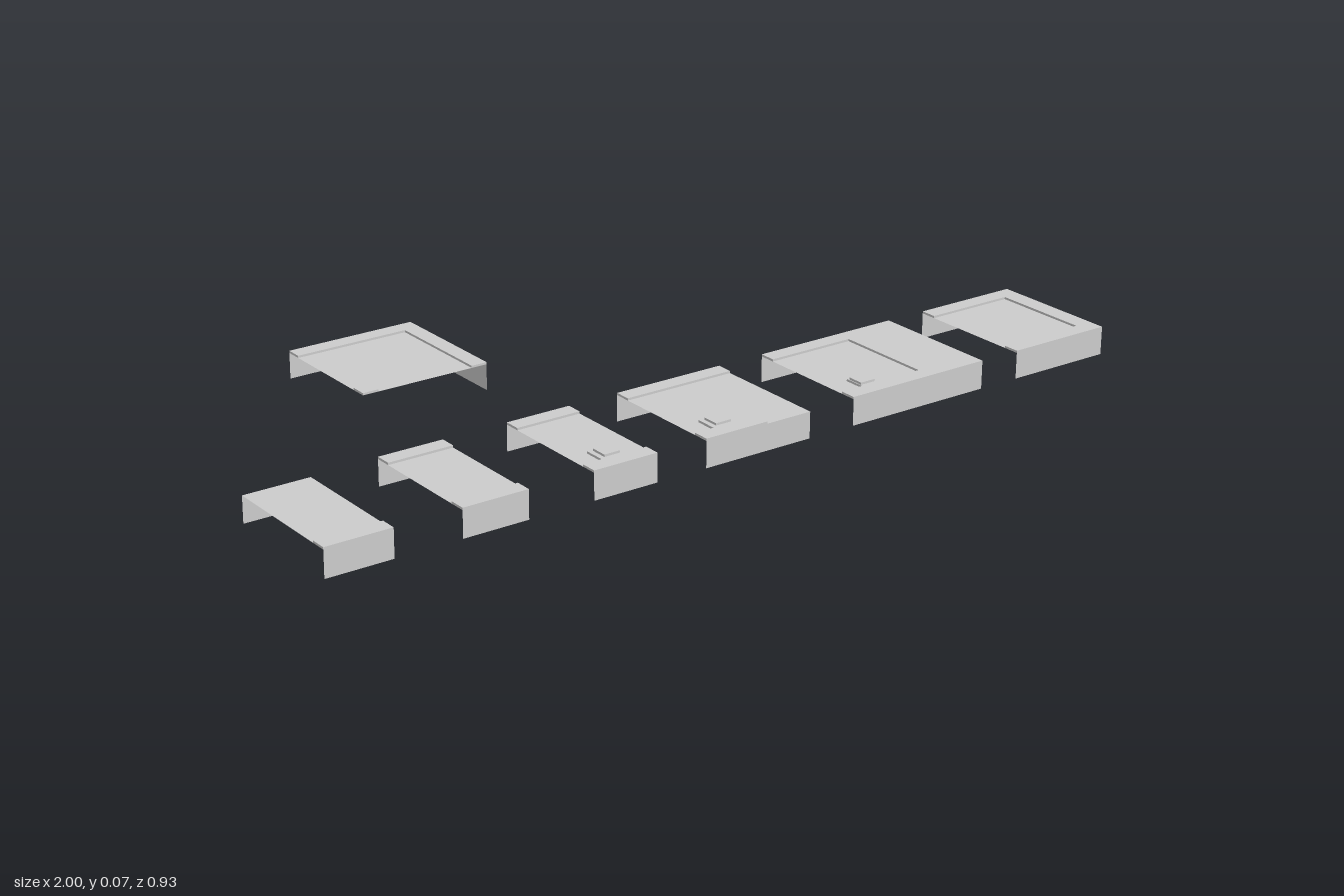
import * as THREE from 'three';

const ROAD = 0.06, KERB = 0.065, RIM = 0.038;
const material = new THREE.MeshStandardMaterial({ color: 0xcccccc, flatShading: true, side: THREE.DoubleSide });

function add(group, name, geometry, x = 0, y = 0, z = 0) {
  const mesh = new THREE.Mesh(geometry, material);
  mesh.name = name;
  mesh.position.set(x, y, z);
  group.add(mesh);
  return mesh;
}

// Raised slab from an outline of [x, z] points
function raised(group, name, points) {
  const shape = new THREE.Shape(points.map(([x, z]) => new THREE.Vector2(x, z)));
  const geometry = new THREE.ExtrudeGeometry(shape, { depth: KERB - ROAD, bevelEnabled: false });
  geometry.rotateX(Math.PI / 2);
  add(group, name, geometry, 0, KERB, 0);
}

const rect = (x0, x1, z0, z1) => [[x0, z0], [x1, z0], [x1, z1], [x0, z1]];

// Thin deck with hanging walls on the chosen sides, open elsewhere
function tile(name, x0, x1, z0, z1, walls) {
  const group = new THREE.Group();
  group.name = name;
  const w = x1 - x0, d = z1 - z0, cx = (x0 + x1) / 2, cz = (z0 + z1) / 2;
  add(group, 'deck', new THREE.PlaneGeometry(w, d).rotateX(-Math.PI / 2), cx, ROAD, cz);
  const wall = (n, size, angle, x, z) =>
    add(group, n, new THREE.PlaneGeometry(size, ROAD).rotateY(angle), x, ROAD / 2, z);
  if (walls.includes('front')) wall('frontWall', w, 0, cx, z1);
  if (walls.includes('back')) wall('backWall', w, Math.PI, cx, z0);
  if (walls.includes('end')) wall('endWall', d, Math.PI / 2, x1, cz);
  return group;
}

export function createModel() {
  const model = new THREE.Group();
  model.name = 'platformTiles';
  const Z0 = 0.155, Z1 = 0.463, zi = Z1 - RIM, zb = Z0 + RIM;

  // Row of tiles: x range, walls, end platform start, bump range, front kerb end
  const row = [
    { name: 'singleKerbTile', x: [-1, -0.847], backKerb: false },
    { name: 'doubleKerbTile', x: [-0.693, -0.54] },
    { name: 'narrowHatchTile', x: [-0.385, -0.23], bay: [-0.34, -0.28], hatch: -0.31 },
    { name: 'openKerbTile', x: [-0.107, 0.163], bay: [-0.06, 0.049], hatch: -0.03, kerbEnd: 0.05 },
    { name: 'wideEndTile', x: [0.28, 0.642], bay: [0.335, 0.43], hatch: 0.356, platform: 0.493 },
    { name: 'endTile', x: [0.743, 1], platform: 0.958 },
  ];
  for (const t of row) {
    const [x0, x1] = t.x;
    const walls = ['front', 'back'];
    if (t.platform) walls.push('end');
    const group = tile(t.name, x0, x1, Z0, Z1, walls);
    const end = t.platform ?? x1;

    // Front kerb, widened into a small bay where there is a hatch
    const inner = t.bay
      ? [[t.bay[0], zi], [t.bay[0], 0.375], [t.bay[1] - 0.02, 0.375], [t.bay[1], 0.4], [t.bay[1], zi]]
      : [];
    const kerbEnd = t.kerbEnd ?? end;
    raised(group, 'frontKerb', [[x0, zi], ...inner, [kerbEnd, zi], [kerbEnd, Z1], [x0, Z1]]);
    if (t.backKerb !== false) raised(group, 'backKerb', rect(x0, end, Z0, zb));
    if (t.platform) raised(group, 'endPlatform', rect(end, x1, Z0, Z1));
    if (t.hatch !== undefined) {
      add(group, 'hatch', new THREE.BoxGeometry(0.038, 0.01, 0.038), t.hatch, 0.065, 0.4);
    }
    model.add(group);
  }

  // Corner tile: kerb round the outer corner, small block in the inner one
  const [x0, x1] = [-0.54, -0.23];
  const corner = tile('cornerTile', x0, x1, -Z1, -Z0, ['back', 'end']);
  raised(corner, 'outerKerb', [
    [x0, -Z1], [x1, -Z1], [x1, -Z0], [x1 - RIM, -Z0], [x1 - RIM, -zi], [x0, -zi],
  ]);
  raised(corner, 'innerKerb', rect(x0, x0 + RIM, -zb, -Z0));
  model.add(corner);

  return model;
}
